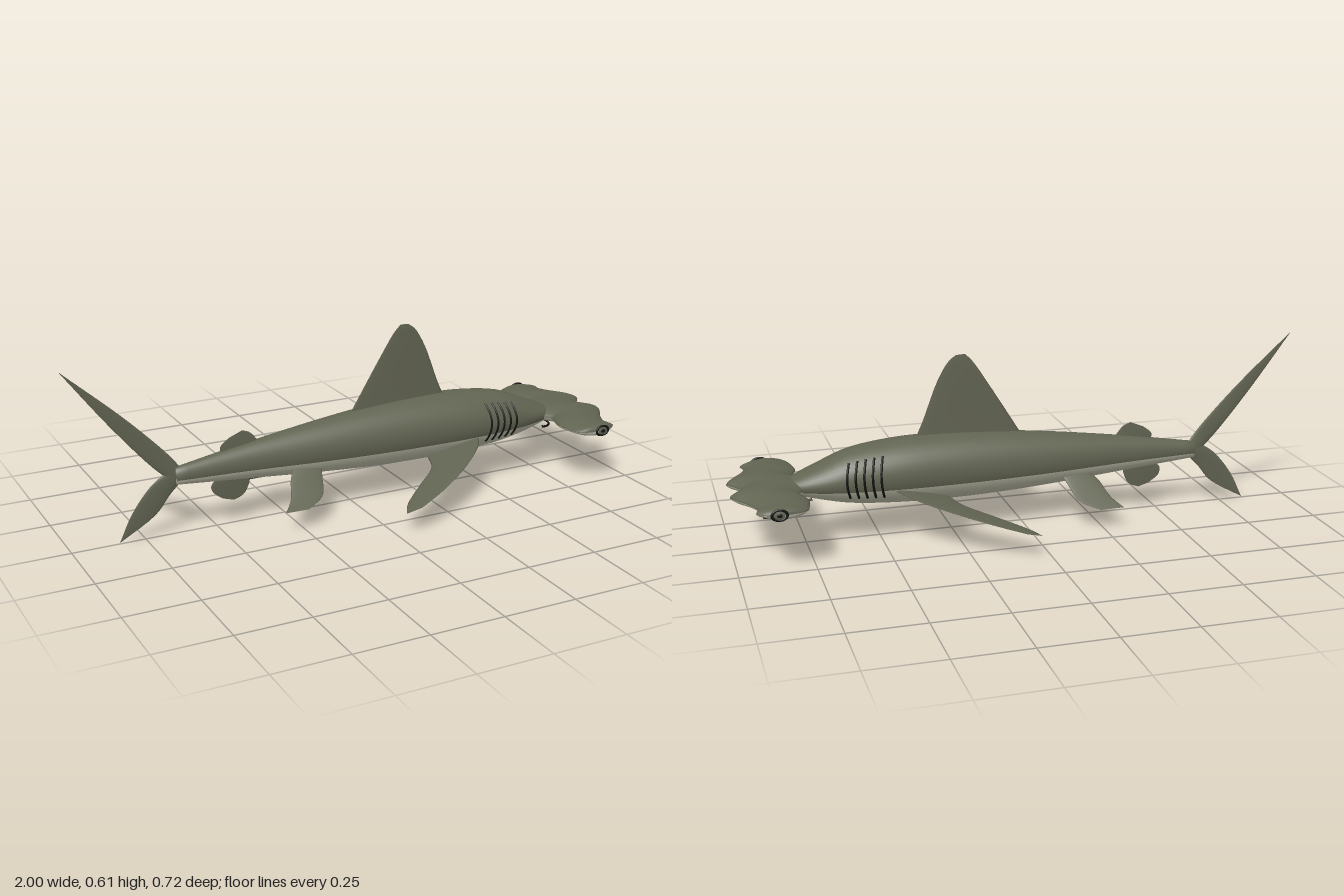
import * as THREE from 'three';

const V = (x, y, z = 0) => new THREE.Vector3(x, y, z);
const mat = (name, color) => Object.assign(new THREE.MeshStandardMaterial({ color }), { name });

// Skin stretched over rings: fn(u, v) gives a point, v wraps around.
// The first topCols columns use material 0, the others material 1.
function skin(nu, nv, fn, topCols = nv) {
  const pos = [], idx = [];
  for (let i = 0; i <= nu; i++)
    for (let j = 0; j < nv; j++) pos.push(...fn(i / nu, j / nv).toArray());
  for (let j = 0; j < nv; j++)
    for (let i = 0; i < nu; i++) {
      const k = (j + 1) % nv, a = i * nv + j, b = i * nv + k, c = a + nv, d = b + nv;
      idx.push(a, c, b, b, c, d);
    }
  // Turn the faces outward if the enclosed volume is negative
  const p = n => V(pos[3 * n], pos[3 * n + 1], pos[3 * n + 2]);
  let vol = 0;
  for (let i = 0; i < idx.length; i += 3) vol += p(idx[i]).dot(p(idx[i + 1]).cross(p(idx[i + 2])));
  if (vol < 0) for (let i = 0; i < idx.length; i += 3) [idx[i], idx[i + 1]] = [idx[i + 1], idx[i]];
  const g = new THREE.BufferGeometry();
  g.setAttribute('position', new THREE.Float32BufferAttribute(pos, 3));
  g.setIndex(idx);
  g.addGroup(0, topCols * nu * 6, 0);
  if (topCols < nv) g.addGroup(topCols * nu * 6, (nv - topCols) * nu * 6, 1);
  g.computeVertexNormals();
  return g;
}

// Linear lookup in rows sorted by their first number
function look(rows, t) {
  let i = 0;
  while (i < rows.length - 2 && t > rows[i + 1][0]) i++;
  const a = rows[i], b = rows[i + 1];
  const k = THREE.MathUtils.clamp((t - a[0]) / (b[0] - a[0]), 0, 1);
  return a.map((n, j) => n + (b[j] - n) * k);
}

// Body stations: x, top, bottom, half width
const stations = [
  [-0.64, 0.232, 0.172, 0.022], [-0.4, 0.272, 0.152, 0.045], [-0.1, 0.313, 0.128, 0.08],
  [0.1, 0.333, 0.117, 0.097], [0.3, 0.341, 0.114, 0.108], [0.45, 0.336, 0.118, 0.11],
  [0.6, 0.313, 0.131, 0.1], [0.7, 0.273, 0.153, 0.083], [0.78, 0.238, 0.175, 0.055],
  [0.81, 0.222, 0.188, 0.03], [0.82, 0.206, 0.204, 0.002]];
const topLine = new THREE.CatmullRomCurve3(stations.map(s => V(s[0], s[1], s[3])));
const lowLine = new THREE.CatmullRomCurve3(stations.map(s => V(s[0], s[2], s[3])));
const rings = Array.from({ length: 61 }, (_, i) => {
  const a = topLine.getPoint(i / 60), b = lowLine.getPoint(i / 60);
  return [a.x, a.y, b.y, a.z];
});
function bodyPoint([x, top, low, w], a, grow = 1) {
  return V(x, (top + low) / 2 + (top - low) / 2 * Math.sin(a) * grow, w * Math.cos(a) * grow);
}

// Head stations: distance from centre, front x, back x, half height
const headRows = [
  [0, 0.955, 0.74, 0.034], [0.03, 0.972, 0.74, 0.034], [0.065, 1.0, 0.762, 0.033],
  [0.09, 0.99, 0.778, 0.032], [0.14, 0.955, 0.76, 0.03], [0.165, 0.942, 0.755, 0.028],
  [0.205, 0.925, 0.76, 0.025], [0.245, 0.935, 0.768, 0.021], [0.262, 0.918, 0.778, 0.019],
  [0.272, 0.9, 0.8, 0.016], [0.278, 0.88, 0.835, 0.01], [0.28, 0.86, 0.858, 0.001]];

// Lens-section fin between a leading and a trailing edge
function fin(lead, trail, normal, thick) {
  const L = new THREE.CatmullRomCurve3(lead), T = new THREE.CatmullRomCurve3(trail);
  const n = normal.clone().normalize();
  return skin(16, 20, (u, v) => {
    const a = v * Math.PI * 2, k = (1 - Math.cos(a)) / 2;
    return L.getPoint(u).lerp(T.getPoint(u), k)
      .addScaledVector(n, thick * Math.sin(a) * (1 - u));
  });
}

export function createModel() {
  const model = new THREE.Group();
  model.name = 'hammerheadShark';
  const back = mat('oliveBack', 0x626452);
  const belly = mat('paleBelly', 0xb6b6a2);
  const black = mat('blackDetail', 0x12120f);
  const add = (name, geo, m, parent = model) => {
    const mesh = new THREE.Mesh(geo, m);
    mesh.name = name;
    parent.add(mesh);
    return mesh;
  };

  // Body: dark back over a pale belly, closed at the tail
  add('body', skin(61, 36, (u, v) => {
    const i = Math.round(u * 61) - 1;
    const a = THREE.MathUtils.degToRad(-20) + v * Math.PI * 2;
    return bodyPoint(rings[Math.max(i, 0)], a, i < 0 ? 0.01 : 1);
  }, 22), [back, belly]);

  // Wide flat head with a scalloped front edge
  add('head', skin(112, 24, (u, v) => {
    const z = Math.sin((u - 0.5) * Math.PI) * 0.28;
    const [, f, b, h] = look(headRows, Math.abs(z));
    const a = v * Math.PI * 2, s = Math.sin(a);
    return V((f + b) / 2 + (f - b) / 2 * Math.cos(a), 0.204 + h * s * Math.abs(s) ** 0.3, z);
  }, 12), [back, belly]);

  // Upright fins on the centre line
  const Z = V(0, 0, 1);
  add('dorsalFin', fin(
    [V(0.38, 0.31), V(0.345, 0.385), V(0.29, 0.525), V(0.25, 0.59), V(0.225, 0.608)],
    [V(-0.01, 0.3), V(0.045, 0.39), V(0.12, 0.51), V(0.17, 0.585), V(0.195, 0.61)], Z, 0.007), [back]);
  add('secondDorsalFin', fin(
    [V(-0.33, 0.25), V(-0.35, 0.285), V(-0.375, 0.312), V(-0.4, 0.322)],
    [V(-0.42, 0.24), V(-0.475, 0.255), V(-0.48, 0.275), V(-0.45, 0.302)], Z, 0.005), [back]);
  add('analFin', fin(
    [V(-0.37, 0.18), V(-0.38, 0.13), V(-0.4, 0.095), V(-0.435, 0.08)],
    [V(-0.48, 0.18), V(-0.515, 0.145), V(-0.51, 0.12), V(-0.475, 0.092)], Z, 0.005), [back]);
  add('upperTailFin', fin(
    [V(-0.61, 0.215), V(-0.66, 0.28), V(-0.8, 0.425), V(-1, 0.606)],
    [V(-0.665, 0.195), V(-0.725, 0.255), V(-0.85, 0.405), V(-1, 0.604)], Z, 0.008), [back]);
  add('lowerTailFin', fin(
    [V(-0.61, 0.19), V(-0.66, 0.14), V(-0.71, 0.08), V(-0.84, 0.002)],
    [V(-0.66, 0.225), V(-0.72, 0.185), V(-0.79, 0.1), V(-0.84, 0)], Z, 0.008), [back]);

  for (const s of [1, -1]) {
    const side = new THREE.Group();
    side.name = s > 0 ? 'nearSide' : 'farSide';
    model.add(side);

    // Paired fins, swept back and tilted
    const pec = (x, z) => V(x, 0.066 + 0.26 * x, z * s);
    add('pectoralFin', fin(
      [pec(0.48, 0.07), pec(0.42, 0.16), pec(0.3, 0.258), pec(0.18, 0.325), pec(0.085, 0.362)],
      [pec(0.27, 0.07), pec(0.24, 0.15), pec(0.15, 0.225), pec(0.06, 0.305), pec(0.03, 0.355)],
      V(-0.26, 1, 0), 0.009), [back], side);
    const pel = (x, z) => V(x, 0.205 - 0.8 * z, z * s);
    add('pelvicFin', fin(
      [pel(-0.13, 0.04), pel(-0.145, 0.08), pel(-0.17, 0.135), pel(-0.235, 0.168)],
      [pel(-0.23, 0.035), pel(-0.26, 0.075), pel(-0.285, 0.13), pel(-0.32, 0.167)],
      V(0, 1, 0.8 * s), 0.006), [back], side);

    // Five gill slits hugging the body
    for (let g = 0; g < 5; g++) {
      const pts = [];
      for (let i = 0; i <= 8; i++) {
        const k = i / 8, x = 0.497 + g * 0.028 + 0.012 * Math.sin(k * Math.PI);
        const p = bodyPoint(look(rings, x), THREE.MathUtils.degToRad(-36 + 82 * k), 1.004);
        pts.push(V(p.x, p.y, p.z * s));
      }
      add('gillSlit', new THREE.TubeGeometry(new THREE.CatmullRomCurve3(pts), 20, 0.004, 6), black, side);
    }

    // Eye at the head tip: dark rim, olive eyeball, black pupil
    const eye = new THREE.Group();
    eye.name = 'eye';
    eye.position.set(0.865, 0.204, 0.276 * s);
    side.add(eye);
    add('eyeRim', new THREE.TorusGeometry(0.017, 0.004, 8, 24), black, eye).scale.set(1.4, 1, 1);
    add('eyeball', new THREE.SphereGeometry(0.016, 16, 10), back, eye).scale.set(1.4, 1, 0.3);
    const pupil = add('pupil', new THREE.SphereGeometry(0.007, 12, 8), black, eye);
    pupil.scale.set(1.3, 1, 0.4);
    pupil.position.z = 0.004 * s;

    // Nostril under the front edge
    const nostril = add('nostril', new THREE.SphereGeometry(0.006, 10, 8), black, side);
    nostril.scale.set(1.5, 0.7, 1);
    nostril.position.set(0.905, 0.19, 0.245 * s);
  }

  // Mouth line curved under the head
  const mouth = new THREE.CatmullRomCurve3([
    V(0.735, 0.18, 0.085), V(0.765, 0.172, 0.072), V(0.8, 0.168, 0.04),
    V(0.808, 0.168, 0), V(0.8, 0.168, -0.04), V(0.765, 0.172, -0.072), V(0.735, 0.18, -0.085)]);
  add('mouth', new THREE.TubeGeometry(mouth, 32, 0.004, 6), black);

  return model;
}
